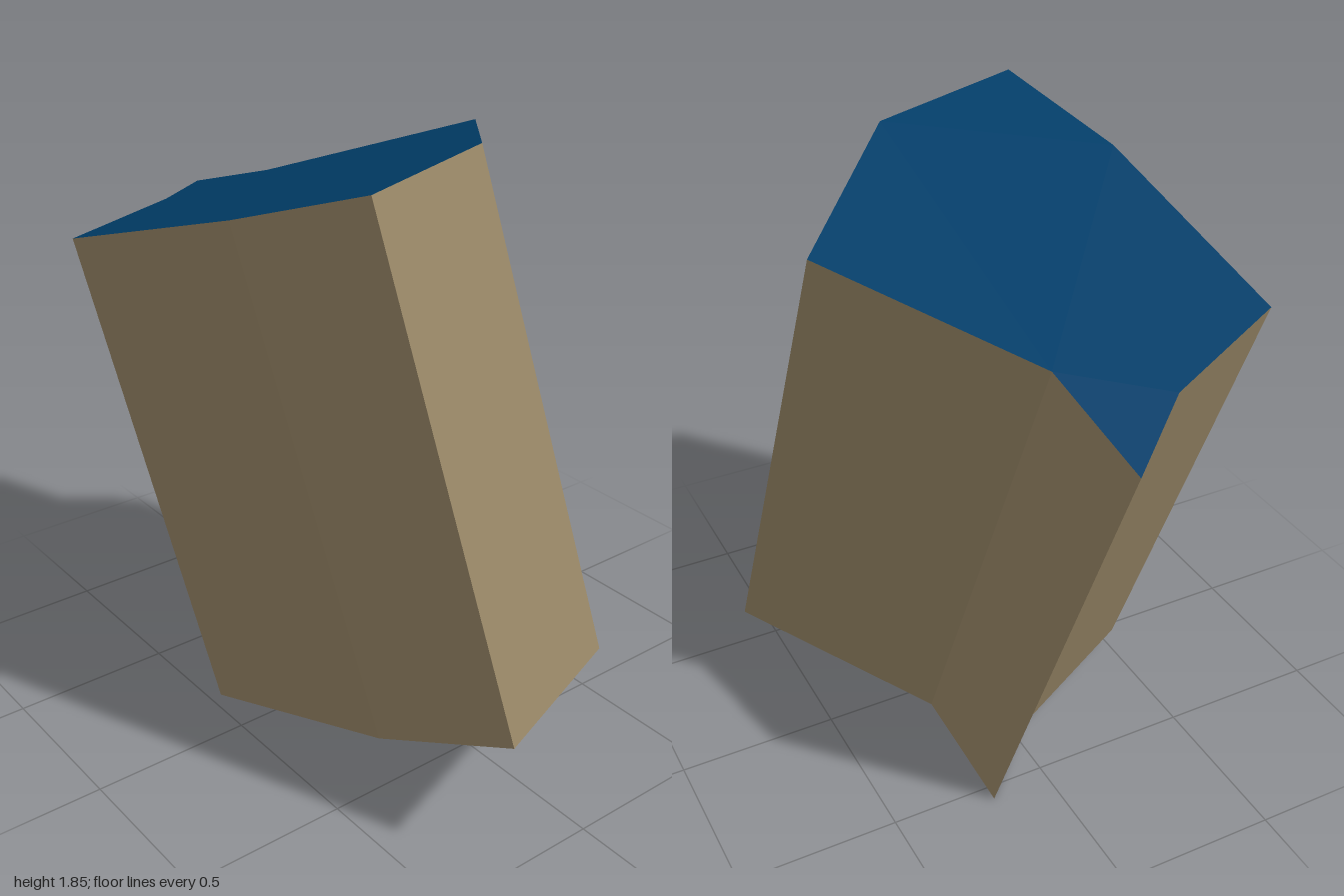
import * as THREE from 'three';

// Top outline as x, z, counter-clockwise seen from above
const OUTLINE = [
  [-1.0, -0.048], [-0.77, 0.21], [-0.538, 0.665], [0.185, 0.588],
  [0.58, 0.44], [0.38, -0.09], [-0.143, -0.535], [-0.636, -0.088],
];

function facetedMesh(name, points, material) {
  const geometry = new THREE.BufferGeometry().setFromPoints(points);
  geometry.computeVertexNormals();
  const mesh = new THREE.Mesh(geometry, material);
  mesh.name = name;
  return mesh;
}

function flatMaterial(name, color) {
  const material = new THREE.MeshStandardMaterial({ color });
  material.name = name;
  return material;
}

export function createModel() {
  const brown = flatMaterial('stone brown', 0x998767);
  const navy = flatMaterial('deep blue', 0x003c67);
  const slate = flatMaterial('soft blue', 0x587eb4);

  // The top ring lies on a tilted plane; the bottom ring is shifted along
  // the leaning axis and is about two percent smaller
  const top = OUTLINE.map(([x, z]) =>
    new THREE.Vector3(x, 1.722 + 0.302 * x - 0.102 * z, z));
  const bottom = top.map((p) => new THREE.Vector3(
    0.98 * p.x + 0.43,
    0.98 * p.y - 1.395,
    0.98 * p.z - 0.142));

  // Side walls, one flat facet per outline edge
  const walls = [];
  top.forEach((t, i) => {
    const j = (i + 1) % top.length;
    walls.push(t, bottom[i], bottom[j], t, bottom[j], top[j]);
  });

  // End caps share one triangulation, with the order reversed underneath
  const contour = OUTLINE.map(([x, z]) => new THREE.Vector2(x, -z));
  const faces = THREE.ShapeUtils.triangulateShape(contour, []);
  const topCap = faces.flatMap(([a, b, c]) => [top[a], top[b], top[c]]);
  const bottomCap = faces.flatMap(([a, b, c]) => [bottom[a], bottom[c], bottom[b]]);

  const group = new THREE.Group();
  group.name = 'leaningPrism';
  group.add(
    facetedMesh('sideWalls', walls, brown),
    facetedMesh('topCap', topCap, navy),
    facetedMesh('bottomCap', bottomCap, slate),
  );
  return group;
}
